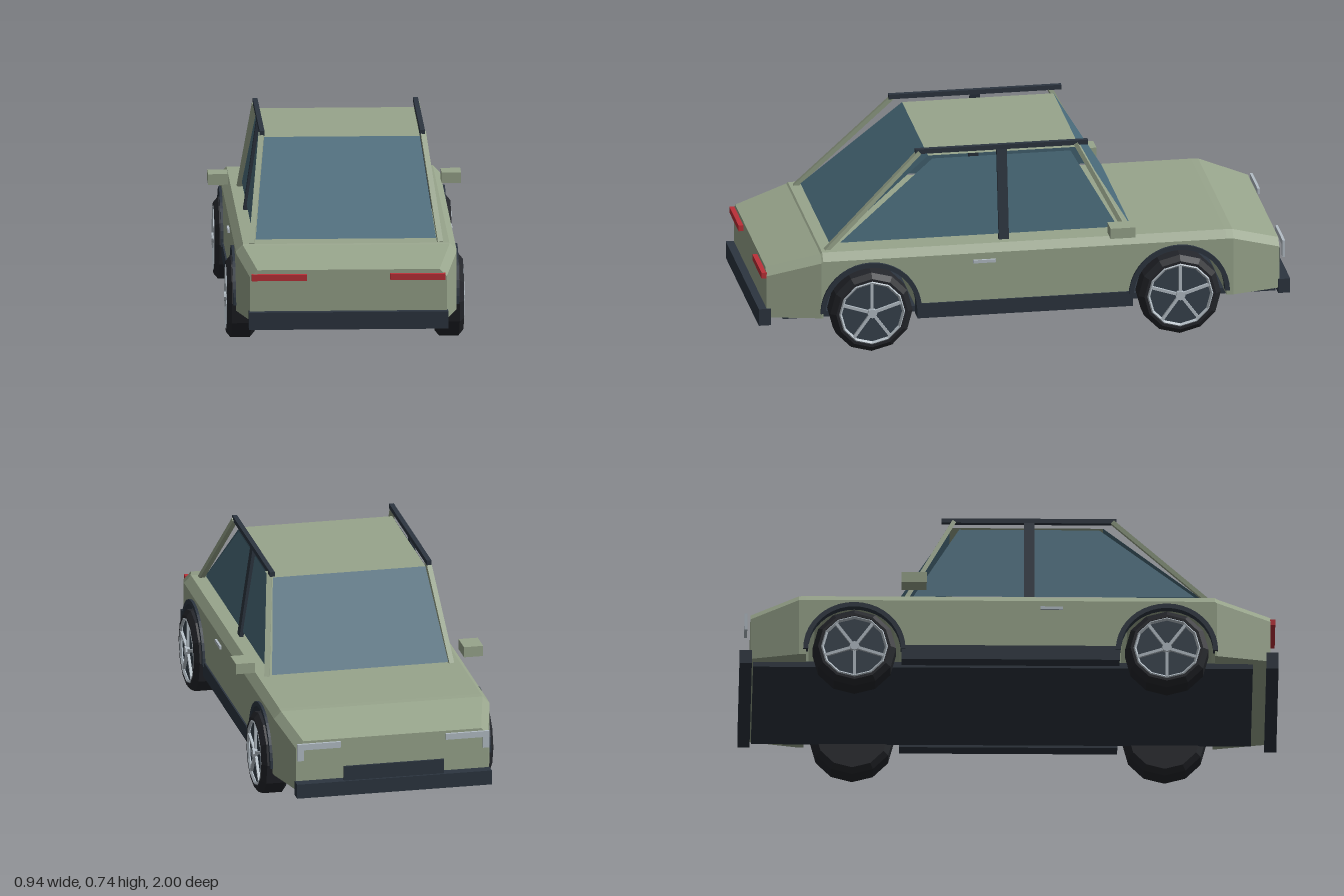
import * as THREE from 'three';

const mat = (color) => new THREE.MeshStandardMaterial({ color, flatShading: true, side: THREE.DoubleSide });
const paint = mat(0x98a58c), trim = mat(0x2c3540), glass = mat(0x4a6c7c);
const rubber = mat(0x24262b), metal = mat(0xb4bec6), red = mat(0xbc3038), rimDark = mat(0x37424d);
const WHEEL_Y = 0.155, ARCH_R = 0.18, REAR_Z = 0.585, FRONT_Z = -0.575;

export function createModel() {
  const car = new THREE.Group();
  car.name = 'car';

  const add = (name, geo, material, parent = car) => {
    const m = new THREE.Mesh(geo, material);
    m.name = name;
    parent.add(m);
    return m;
  };
  // Box given by its extents
  const box = (name, material, [x0, x1], [y0, y1], [z0, z1]) =>
    add(name, new THREE.BoxGeometry(Math.abs(x1 - x0), y1 - y0, Math.abs(z1 - z0)), material)
      .position.set((x0 + x1) / 2, (y0 + y1) / 2, (z0 + z1) / 2);
  // Straight bar between two points
  const bar = (name, material, a, b, w, h) => {
    const p = new THREE.Vector3(...a), q = new THREE.Vector3(...b);
    const m = add(name, new THREE.BoxGeometry(w, h, p.distanceTo(q)), material);
    m.position.copy(p).lerp(q, 0.5);
    m.lookAt(q);
  };
  // Flat four-cornered panel
  const panel = (name, material, a, b, c, d) => {
    const g = new THREE.BufferGeometry();
    g.setAttribute('position', new THREE.Float32BufferAttribute([a, b, c, a, c, d].flat(), 3));
    g.computeVertexNormals();
    add(name, g, material);
  };

  add('body', bodyGeometry(), paint);
  box('floor', trim, [-0.34, 0.34], [0.115, 0.137], [-0.95, 0.905]);

  // Bumpers, intake and lights
  box('rearBumper', trim, [-0.37, 0.37], [0.105, 0.17], [0.955, 1]);
  box('frontBumper', trim, [-0.37, 0.37], [0.115, 0.17], [-1, -0.955]);
  box('frontIntake', trim, [-0.19, 0.19], [0.165, 0.225], [-0.992, -0.984]);
  for (const s of [1, -1]) {
    box('tailLight', red, [s * 0.155, s * 0.36], [0.287, 0.31], [0.968, 0.988]);
    box('headlightStrip', metal, [s * 0.2, s * 0.365], [0.297, 0.32], [-0.982, -0.972]);
    box('headlightCorner', metal, [s * 0.34, s * 0.365], [0.255, 0.297], [-0.982, -0.972]);
  }

  // Cabin panels
  panel('roof', paint, [-0.29, 0.71, 0.35], [0.29, 0.71, 0.35], [0.29, 0.71, -0.22], [-0.29, 0.71, -0.22]);
  panel('rearWindow', glass, [-0.335, 0.395, 0.725], [0.335, 0.395, 0.725], [0.29, 0.71, 0.35], [-0.29, 0.71, 0.35]);
  panel('windshield', glass, [0.335, 0.395, -0.41], [-0.335, 0.395, -0.41], [-0.29, 0.71, -0.22], [0.29, 0.71, -0.22]);

  for (const s of [1, -1]) {
    const side = [[s * 0.343, 0.405, 0.69], [s * 0.343, 0.405, -0.355], [s * 0.297, 0.7, -0.185], [s * 0.297, 0.7, 0.335]];
    panel('sideWindow', glass, ...(s > 0 ? side : side.reverse()));
    bar('rearPillar', paint, [s * 0.35, 0.38, 0.745], [s * 0.3, 0.73, 0.385], 0.02, 0.016);
    bar('frontPillar', paint, [s * 0.35, 0.38, -0.39], [s * 0.3, 0.73, -0.205], 0.02, 0.016);
    bar('middlePillar', trim, [s * 0.348, 0.385, 0.075], [s * 0.298, 0.73, 0.075], 0.038, 0.015);
    box('roofRail', trim, [s * 0.289, s * 0.307], [0.724, 0.742], [-0.25, 0.4]);
    box('mirror', paint, [s * 0.397, s * 0.47], [0.405, 0.445], [-0.4, -0.307]);
    box('doorHandle', metal, [s * 0.4, s * 0.418], [0.32, 0.332], [0.115, 0.2]);
    box('sill', trim, [s * 0.36, s * 0.416], [0.115, 0.172], [-0.4, 0.41]);

    for (const z of [REAR_Z, FRONT_Z]) {
      const lip = add('archLip', archGeometry(), trim);
      lip.position.set(s * 0.405, WHEEL_Y, z);
      lip.rotation.y = Math.PI / 2;
      const wheel = makeWheel(add);
      wheel.position.set(s * 0.3875, WHEEL_Y, z);
      wheel.rotation.z = -s * Math.PI / 2;
      car.add(wheel);
    }
  }
  return car;
}

// Hull lofted from rear to front, its underside following the wheel arches
function bodyGeometry() {
  // z, half width, bottom, top
  const stations = [[0.97, 0.365, 0.135, 0.325]];
  stations.push([0.77, 0.41, 0.135, 0.38]);
  const start = Math.asin(-0.02 / ARCH_R), n = 14;
  for (const zc of [REAR_Z, FRONT_Z]) {
    for (let i = 0; i <= n; i++) {
      const t = start + (Math.PI - 2 * start) * i / n;
      stations.push([zc + ARCH_R * Math.cos(t), 0.41, WHEEL_Y + ARCH_R * Math.sin(t), 0.385]);
    }
  }
  stations.push([-0.78, 0.41, 0.135, 0.384], [-0.96, 0.365, 0.135, 0.325]);

  const rings = stations.map(([z, w, b, t]) => [
    [-w, b, z], [w, b, z], [w, t - 0.028, z], [w - 0.027, t, z], [0.027 - w, t, z], [-w, t - 0.028, z]]);
  const pos = [];
  const tri = (...pts) => pts.forEach((p) => pos.push(...p));
  for (let i = 0; i < rings.length - 1; i++) {
    for (let j = 0; j < 6; j++) {
      const k = (j + 1) % 6, r = rings[i], q = rings[i + 1];
      tri(r[j], q[j], r[k]);
      tri(r[k], q[j], q[k]);
    }
  }
  const first = rings[0], last = rings[rings.length - 1];
  for (let j = 1; j < 5; j++) {
    tri(first[0], first[j], first[j + 1]);
    tri(last[0], last[j + 1], last[j]);
  }
  const g = new THREE.BufferGeometry();
  g.setAttribute('position', new THREE.Float32BufferAttribute(pos, 3));
  g.computeVertexNormals();
  return g;
}

// Half-ring lip around a wheel opening
function archGeometry() {
  const shape = new THREE.Shape();
  shape.absarc(0, 0, 0.19, 0, Math.PI, false);
  shape.absarc(0, 0, 0.172, Math.PI, 0, true);
  const g = new THREE.ExtrudeGeometry(shape, { depth: 0.03, bevelEnabled: false, curveSegments: 10 });
  return g.translate(0, 0, -0.015);
}

// Wheel built with its axle along y, outer face up
function makeWheel(add) {
  const wheel = new THREE.Group();
  wheel.name = 'wheel';
  const profile = [[0, -0.0525], [0.135, -0.0525], [0.155, -0.036], [0.155, 0.036], [0.135, 0.0525], [0.125, 0.0525], [0.122, 0.035]]
    .map(([r, y]) => new THREE.Vector2(r, y));
  add('tyre', new THREE.LatheGeometry(profile, 12), rubber, wheel);
  add('rimDisc', new THREE.CylinderGeometry(0.123, 0.123, 0.02, 12), rimDark, wheel).position.y = 0.032;
  const ring = add('rimRing', new THREE.TorusGeometry(0.12, 0.007, 4, 12), metal, wheel);
  ring.rotation.x = Math.PI / 2;
  ring.position.y = 0.047;
  for (let i = 0; i < 5; i++) {
    const a = i * Math.PI * 2 / 5;
    const spoke = add('spoke', new THREE.BoxGeometry(0.115, 0.012, 0.011), metal, wheel);
    spoke.position.set(-Math.cos(a) * 0.06, 0.046, Math.sin(a) * 0.06);
    spoke.rotation.y = a;
  }
  add('hubCap', new THREE.CylinderGeometry(0.018, 0.018, 0.025, 8), metal, wheel).position.y = 0.047;
  return wheel;
}
